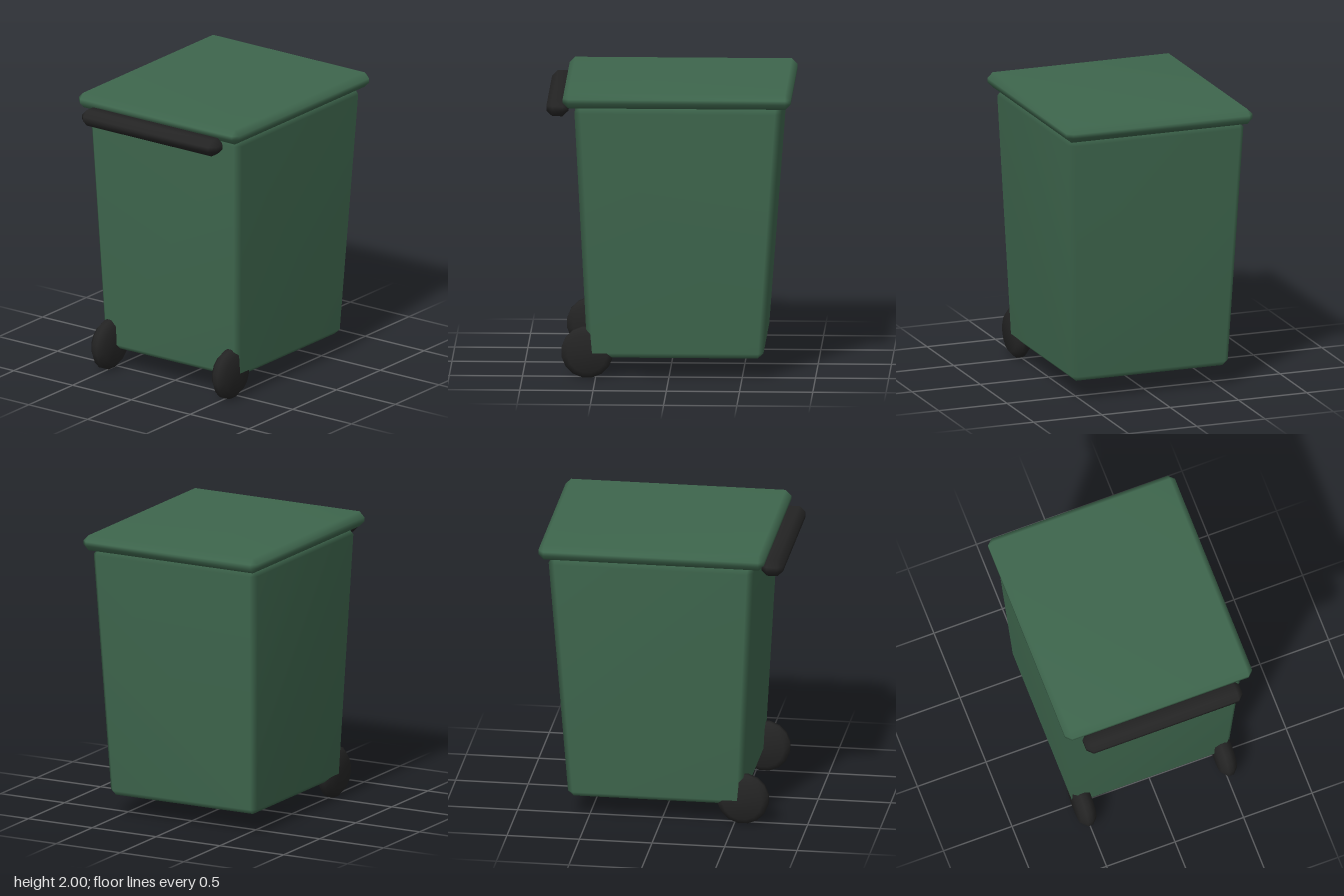
import * as THREE from 'three';
import { mergeVertices } from 'three/addons/utils/BufferGeometryUtils.js';

// Box with one chamfer on every edge, shaded smoothly; min and max are [x, y, z].
function chamferBox(min, max, bevel) {
  const positions = [], index = [];
  const id = (signs, axis) =>
    ((signs[0] > 0 ? 1 : 0) + (signs[1] > 0 ? 2 : 0) + (signs[2] > 0 ? 4 : 0)) * 3 + axis;
  const quad = (a, b, c, d, flip) =>
    index.push(...(flip ? [a, c, b, a, d, c] : [a, b, c, a, c, d]));

  // three vertices per corner, one on each adjoining face
  for (let corner = 0; corner < 8; corner++) {
    for (let axis = 0; axis < 3; axis++) {
      for (let k = 0; k < 3; k++) {
        const inset = k === axis ? 0 : bevel;
        positions.push((corner >> k) & 1 ? max[k] - inset : min[k] + inset);
      }
    }
  }

  for (let a = 0; a < 3; a++) {
    const b = (a + 1) % 3, c = (a + 2) % 3;
    const at = (sa, sb, sc, axis) => {
      const signs = [];
      signs[a] = sa; signs[b] = sb; signs[c] = sc;
      return id(signs, axis);
    };
    // flat faces
    for (const s of [-1, 1]) {
      quad(at(s, -1, -1, a), at(s, 1, -1, a), at(s, 1, 1, a), at(s, -1, 1, a), s < 0);
    }
    // chamfers running along this axis
    for (const sb of [-1, 1]) for (const sc of [-1, 1]) {
      quad(at(-1, sb, sc, b), at(1, sb, sc, b), at(1, sb, sc, c), at(-1, sb, sc, c), sb * sc > 0);
    }
  }
  // corner triangles
  for (const x of [-1, 1]) for (const y of [-1, 1]) for (const z of [-1, 1]) {
    const [p, q, r] = [0, 1, 2].map(axis => id([x, y, z], axis));
    index.push(...(x * y * z > 0 ? [p, q, r] : [p, r, q]));
  }

  const geometry = new THREE.BufferGeometry();
  geometry.setAttribute('position', new THREE.Float32BufferAttribute(positions, 3));
  geometry.setIndex(index);
  geometry.computeVertexNormals();
  return geometry;
}

// Bin body: a chamfered box that widens towards the top
function bodyGeometry() {
  const geometry = chamferBox([-1, 0.143, -1], [1, 1.893, 1], 0.06);
  const p = geometry.attributes.position;
  for (let i = 0; i < p.count; i++) {
    const t = (p.getY(i) - 0.18) / (1.855 - 0.18);
    const halfWidth = THREE.MathUtils.lerp(0.572, 0.643, t);
    const front = THREE.MathUtils.lerp(0.555, 0.643, t);
    const back = THREE.MathUtils.lerp(-0.645, -0.772, t);
    // the vertical bounds use a 0.037 chamfer
    if (Math.abs(p.getY(i) - 0.203) < 0.001) p.setY(i, 0.18);
    if (Math.abs(p.getY(i) - 1.833) < 0.001) p.setY(i, 1.856);
    p.setX(i, p.getX(i) * halfWidth);
    p.setZ(i, THREE.MathUtils.lerp(back, front, (p.getZ(i) + 1) / 2));
  }
  geometry.computeVertexNormals();
  return geometry;
}

// Wheel: chamfered disc with its axle along x
function wheelGeometry() {
  const profile = [[0, -0.057], [0.137, -0.057], [0.178, -0.018], [0.178, 0.018], [0.137, 0.057], [0, 0.057]]
    .map(([r, y]) => new THREE.Vector2(r, y));
  let geometry = new THREE.LatheGeometry(profile, 16, Math.PI / 16);
  geometry.deleteAttribute('uv');
  geometry.deleteAttribute('normal');
  geometry = mergeVertices(geometry, 1e-4);
  geometry.computeVertexNormals();
  return geometry.rotateZ(Math.PI / 2);
}

export function createModel() {
  const green = new THREE.MeshStandardMaterial({ color: 0x3e664d });
  green.name = 'green plastic';
  const black = new THREE.MeshStandardMaterial({ color: 0x242424 });
  black.name = 'black rubber';

  const group = new THREE.Group();
  group.name = 'wheelieBin';
  const add = (name, geometry, material) => {
    const mesh = new THREE.Mesh(geometry, material);
    mesh.name = name;
    group.add(mesh);
    return mesh;
  };

  add('body', bodyGeometry(), green);
  add('lid', chamferBox([-0.682, 1.895, -0.836], [0.682, 2, 0.72], 0.038), green);
  add('handle', chamferBox([-0.57, 1.817, 0.685], [0.57, 1.93, 0.836], 0.04), black);

  const wheel = wheelGeometry();
  for (const side of [-1, 1]) {
    add(side > 0 ? 'leftWheel' : 'rightWheel', wheel, black).position.set(side * 0.513, 0.178, 0.557);
  }
  return group;
}
